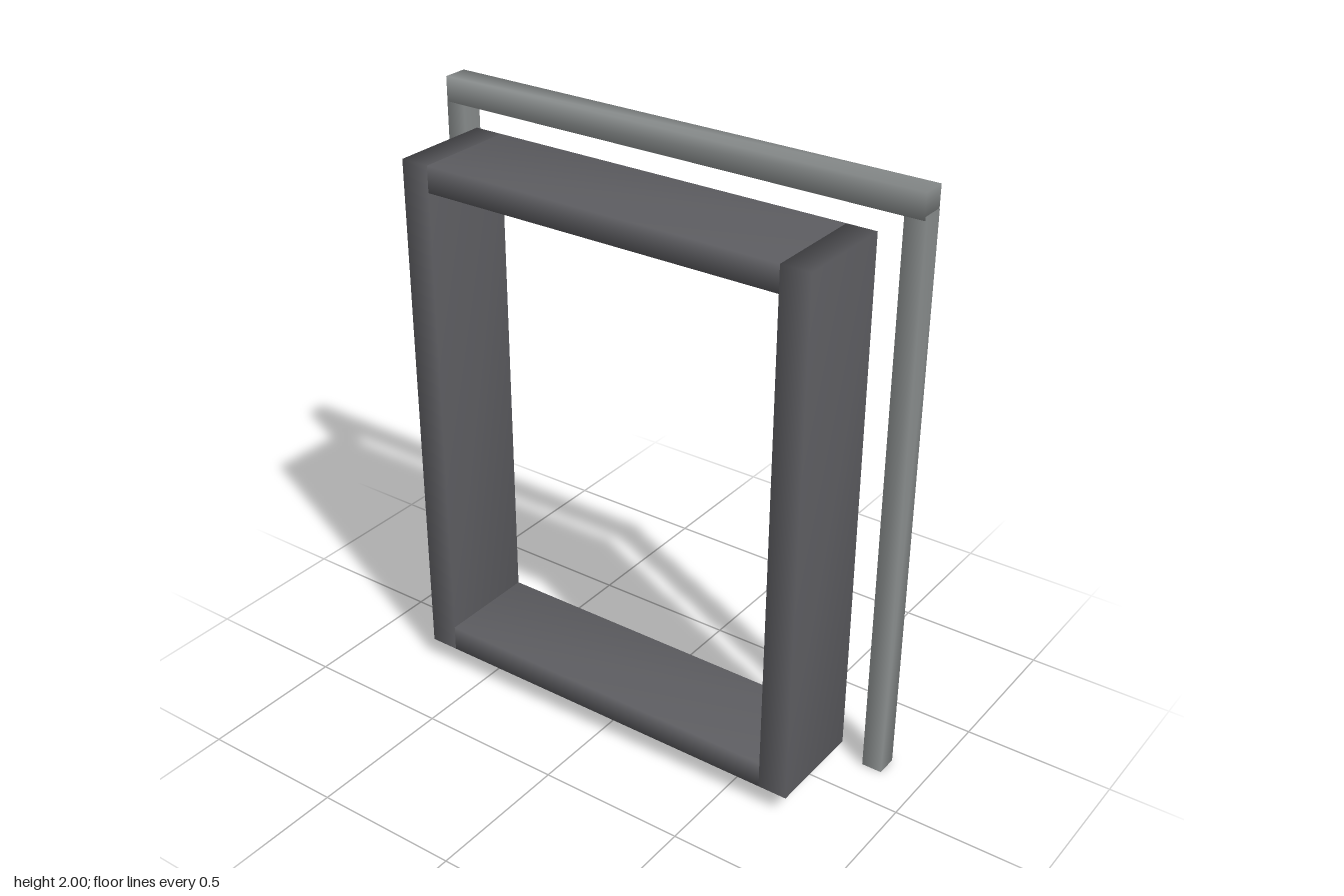
import * as THREE from 'three';
import { mergeVertices } from 'three/addons/utils/BufferGeometryUtils.js';

const frameMaterial = new THREE.MeshStandardMaterial({ color: 0x5c5c60 });
const trimMaterial = new THREE.MeshStandardMaterial({ color: 0x8a8e8e });

// Beam between two corners, with normals shared across its edges for soft shading
function beam(name, material, [x0, x1], [y0, y1], [z0, z1]) {
  let geometry = new THREE.BoxGeometry(x1 - x0, y1 - y0, z1 - z0);
  geometry.deleteAttribute('normal');
  geometry.deleteAttribute('uv');
  geometry = mergeVertices(geometry);
  geometry.computeVertexNormals();
  const mesh = new THREE.Mesh(geometry, material);
  mesh.name = name;
  mesh.position.set((x0 + x1) / 2, (y0 + y1) / 2, (z0 + z1) / 2);
  return mesh;
}

export function createModel() {
  const model = new THREE.Group();
  model.name = 'doorFrame';

  // Deep inner frame: two jambs with a head and a sill between them
  const frame = new THREE.Group();
  frame.name = 'innerFrame';
  const depth = [-0.125, 0.225];
  frame.add(
    beam('leftJamb', frameMaterial, [0.628, 0.728], [0.075, 1.86], depth),
    beam('rightJamb', frameMaterial, [-0.728, -0.628], [0.075, 1.86], depth),
    beam('head', frameMaterial, [-0.628, 0.628], [1.772, 1.86], depth),
    beam('sill', frameMaterial, [-0.628, 0.628], [0.075, 0.165], depth)
  );

  // Slim surround behind it: two posts carrying a slightly thicker top rail
  const surround = new THREE.Group();
  surround.name = 'surround';
  const postDepth = [-0.219, -0.144];
  surround.add(
    beam('leftPost', trimMaterial, [0.796, 0.865], [0, 1.928], postDepth),
    beam('rightPost', trimMaterial, [-0.865, -0.796], [0, 1.928], postDepth),
    beam('topRail', trimMaterial, [-0.861, 0.861], [1.917, 2], [-0.225, -0.14])
  );

  model.add(frame, surround);
  return model;
}
